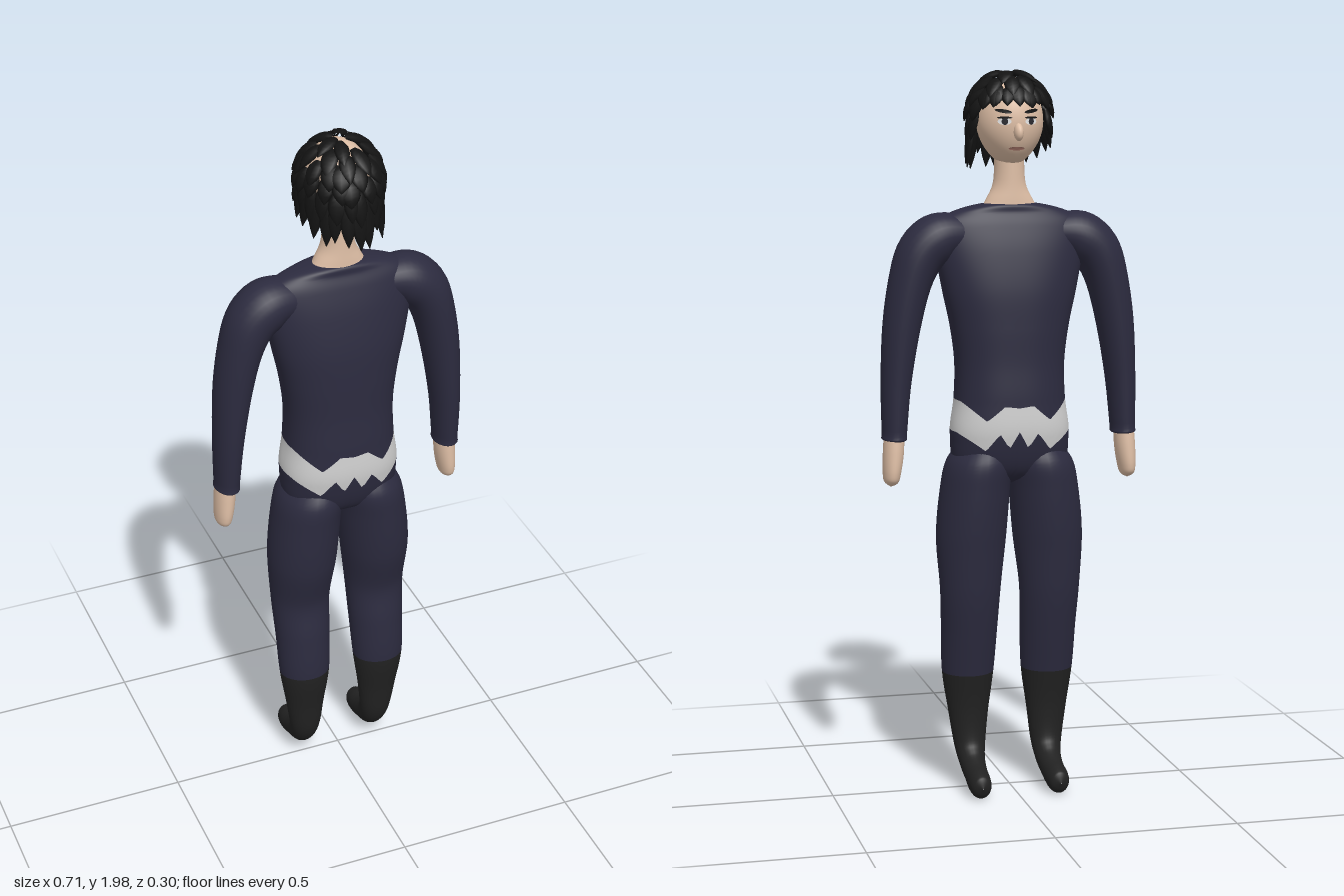
import * as THREE from 'three';
import { mergeGeometries } from 'three/addons/utils/BufferGeometryUtils.js';

const mat = (name, color) => {
  const m = new THREE.MeshStandardMaterial({ color });
  m.name = name;
  return m;
};
const V = (x, y, z) => new THREE.Vector3(x, y, z);
const X = V(1, 0, 0), Z = V(0, 0, 1);

// Smooth interpolation of ring rows [x, y, z, radiusA, radiusB] at row position t
function sample(rows, t) {
  const n = rows.length - 1;
  t = Math.min(Math.max(t, 0), n);
  const i = Math.min(Math.floor(t), n - 1), f = t - i;
  const p0 = rows[Math.max(i - 1, 0)], p1 = rows[i], p2 = rows[i + 1], p3 = rows[Math.min(i + 2, n)];
  return p1.map((b, k) => {
    const m1 = (p2[k] - p0[k]) / 2, m2 = (p3[k] - b) / 2, d = p2[k] - b;
    return b + f * (m1 + f * (3 * d - 2 * m1 - m2 + f * (m1 + m2 - 2 * d)));
  });
}

// Lofted tube through rings; radiusA lies along axis, radiusB across it.
// from and to are row positions, either numbers or functions of the angle.
function tube(rows, axis, { from = 0, to = rows.length - 1, nu = 28, nv = 40, power = 1 } = {}) {
  const at = (f, u) => (typeof f === 'function' ? f(u) : f);
  const bend = (c) => Math.sign(c) * Math.pow(Math.abs(c), power);
  const point = (u, t) => {
    const r = sample(rows, t), a = sample(rows, t - 0.02), b = sample(rows, t + 0.02);
    const across = V(b[0] - a[0], b[1] - a[1], b[2] - a[2]).normalize().cross(axis).normalize();
    return V(r[0], r[1], r[2])
      .addScaledVector(axis, Math.max(r[3], 0.0005) * bend(Math.cos(u)))
      .addScaledVector(across, Math.max(r[4], 0.0005) * bend(Math.sin(u)));
  };
  const pos = [], nor = [], idx = [], last = rows.length - 1;
  for (let j = 0; j <= nv; j++) {
    for (let i = 0; i <= nu; i++) {
      const u = (i / nu) * Math.PI * 2, t0 = at(from, u), t = t0 + (at(to, u) - t0) * (j / nv);
      const tn = Math.min(Math.max(t, 0.02), last - 0.02);
      const du = point(u + 0.02, tn).sub(point(u - 0.02, tn));
      const dv = point(u, tn + 0.01).sub(point(u, tn - 0.01));
      pos.push(...point(u, t).toArray());
      nor.push(...du.cross(dv).normalize().toArray());
      if (i < nu && j < nv) {
        const a = j * (nu + 1) + i, b = a + nu + 1;
        idx.push(a, a + 1, b + 1, a, b + 1, b);
      }
    }
  }
  const g = new THREE.BufferGeometry();
  g.setAttribute('position', new THREE.Float32BufferAttribute(pos, 3));
  g.setAttribute('normal', new THREE.Float32BufferAttribute(nor, 3));
  g.setIndex(idx);
  return g;
}

// Piecewise linear lookup for the belt outline
function zigzag(points, x) {
  for (let i = 1; i < points.length; i++) {
    const [x0, y0] = points[i - 1], [x1, y1] = points[i];
    if (x <= x1) return y0 + ((y1 - y0) * (x - x0)) / (x1 - x0);
  }
  return points[points.length - 1][1];
}

// Head shape: an ellipsoid narrowing to the chin
const HEAD = { y: 1.848, z: -0.005, rx: 0.09, ry: 0.12, rz: 0.097 };
const jaw = (py) => (py < 0 ? 1 - 0.22 * py * py : 1);
function faceZ(x, y) {
  const py = (y - HEAD.y) / HEAD.ry, px = x / (HEAD.rx * jaw(py));
  return HEAD.z - HEAD.rz * Math.sqrt(Math.max(0, 1 - px * px - py * py));
}

export function createModel() {
  const model = new THREE.Group();
  const suit = mat('navy suit', 0x2c2b3f), boots = mat('black boots', 0x222222);
  const silver = mat('silver belt', 0xd2d2d2), skin = mat('skin', 0xdfbfa6);
  const black = mat('black hair', 0x131313), white = mat('eye white', 0xf0f0f0);
  const iris = mat('dark iris', 0x2a2a30), lip = mat('lips', 0xa8766a);
  const add = (name, geometry, material, parent = model) => {
    const m = new THREE.Mesh(geometry, material);
    m.name = name;
    parent.add(m);
    return m;
  };

  // Torso, split by the zigzag belt
  const torso = [
    [0.86, 0.001, 0.001], [0.9, 0.14, 0.085], [1.0, 0.163, 0.118], [1.1, 0.152, 0.12],
    [1.2, 0.15, 0.114], [1.3, 0.163, 0.112], [1.4, 0.185, 0.106], [1.5, 0.203, 0.088],
    [1.57, 0.203, 0.068], [1.605, 0.165, 0.054], [1.628, 0.08, 0.047], [1.63, 0.001, 0.001],
  ].map(([y, a, b]) => [0, y, 0, a, b]);
  const edge = (pts) => (u) => 1 + (zigzag(pts, 0.155 * Math.pow(Math.abs(Math.cos(u)), 0.85)) - 0.9) / 0.1;
  const beltTop = edge([[0, 1.085], [0.04, 1.09], [0.085, 1.05], [0.15, 1.1], [0.16, 1.1]]);
  const beltBottom = edge([[0, 1.02], [0.025, 0.975], [0.05, 1.015], [0.085, 0.97], [0.15, 1.015], [0.16, 1.015]]);
  add('hips', tube(torso, X, { to: beltBottom, nu: 120, nv: 12, power: 0.85 }), suit);
  add('belt', tube(torso, X, { from: beltBottom, to: beltTop, nu: 120, nv: 6, power: 0.85 }), silver);
  add('shirt', tube(torso, X, { from: beltTop, nu: 120, nv: 50, power: 0.85 }), suit);

  // Arms, hands, legs and boots
  const arm = [
    [0.1, 1.53, 0, 0.05, 0.05], [0.15, 1.545, 0, 0.064, 0.058], [0.2, 1.535, 0, 0.074, 0.07],
    [0.245, 1.495, 0, 0.075, 0.067], [0.275, 1.42, 0, 0.072, 0.058], [0.299, 1.3, 0, 0.066, 0.051],
    [0.315, 1.15, 0, 0.058, 0.041], [0.321, 1.02, -0.004, 0.05, 0.034],
    [0.322, 0.995, -0.005, 0.047, 0.032], [0.322, 0.993, -0.005, 0.001, 0.001],
  ];
  const hand = [
    [0.322, 1.03, -0.01, 0.036, 0.027], [0.326, 0.96, -0.012, 0.041, 0.028], [0.331, 0.905, -0.013, 0.041, 0.024],
    [0.333, 0.88, -0.013, 0.031, 0.018], [0.334, 0.868, -0.013, 0.001, 0.001],
  ];
  const leg = [
    [0.075, 0.985, 0, 0.05, 0.08], [0.085, 0.93, 0, 0.088, 0.113], [0.097, 0.85, 0, 0.095, 0.114],
    [0.108, 0.72, 0, 0.096, 0.104], [0.112, 0.58, -0.007, 0.084, 0.08], [0.112, 0.46, 0.01, 0.078, 0.075],
    [0.113, 0.335, 0.025, 0.072, 0.065], [0.112, 0.22, 0.024, 0.056, 0.046], [0.11, 0.13, 0.016, 0.044, 0.04],
    [0.109, 0.085, -0.012, 0.036, 0.04], [0.109, 0.06, -0.06, 0.032, 0.037], [0.11, 0.046, -0.11, 0.031, 0.038],
    [0.11, 0.044, -0.14, 0.024, 0.029], [0.11, 0.043, -0.153, 0.001, 0.001],
  ];
  for (const [side, s] of [['left', 1], ['right', -1]]) {
    const flip = (rows) => rows.map(([x, ...rest]) => [s * x, ...rest]);
    add(side + 'Sleeve', tube(flip(arm), Z), suit);
    add(side + 'Hand', tube(flip(hand), Z, { nv: 24 }), skin);
    add(side + 'Leg', tube(flip(leg), X, { to: 6 }), suit);
    add(side + 'Boot', tube(flip(leg), X, { from: 6 }), boots);
  }

  // Neck and head
  add('neck', tube([
    [0, 1.605, 0, 0.085, 0.048], [0, 1.64, 0, 0.064, 0.047], [0, 1.69, 0, 0.043, 0.045], [0, 1.79, 0, 0.04, 0.045],
  ], X, { nv: 16 }), skin);
  const headGeo = new THREE.SphereGeometry(1, 40, 28), p = headGeo.attributes.position;
  for (let i = 0; i < p.count; i++) {
    const y = p.getY(i);
    p.setXYZ(i, p.getX(i) * HEAD.rx * jaw(y), HEAD.y + y * HEAD.ry, HEAD.z + p.getZ(i) * HEAD.rz);
  }
  headGeo.computeVertexNormals();
  add('head', headGeo, skin);
  const nose = add('nose', new THREE.SphereGeometry(1, 16, 12), skin);
  nose.scale.set(0.013, 0.024, 0.02);
  nose.position.set(0, 1.822, -0.105);
  nose.rotation.x = 0.35;

  // Face details laid on the head surface
  const patch = (name, cx, cy, rx, ry, lift, material, tilt = 0) => {
    const g = new THREE.CircleGeometry(1, 20), q = g.attributes.position;
    for (let i = 0; i < q.count; i++) {
      const x = cx - q.getX(i) * rx, y = cy + q.getY(i) * ry + tilt * (x - cx);
      q.setXYZ(i, x, y, faceZ(x, y) - lift);
    }
    g.computeVertexNormals();
    add(name, g, material);
  };
  for (const s of [1, -1]) {
    patch('eyeWhite', s * 0.036, 1.85, 0.017, 0.009, 0.003, white);
    patch('iris', s * 0.036, 1.85, 0.008, 0.009, 0.005, iris);
    patch('eyelid', s * 0.036, 1.86, 0.019, 0.003, 0.005, black);
    patch('eyebrow', s * 0.038, 1.877, 0.021, 0.005, 0.004, black, s * 0.15);
  }
  patch('mouth', 0, 1.778, 0.022, 0.005, 0.003, lip);

  // Hair: rings of overlapping pointed locks
  let seed = 7;
  const rnd = () => (seed = (seed * 16807) % 2147483647) / 2147483647;
  const locks = [];
  const lock = (theta, phi, arc, drop, width) => {
    const dir = V(Math.sin(theta), 0, Math.cos(theta)), rows = [];
    const back = Math.max(0, dir.z);
    [0, 0.25, 0.55, 0.8, 1].forEach((k, i) => {
      const a = ((phi + arc * k) * Math.PI) / 180, r = Math.sin(Math.min(a, 1.6));
      const grow = 0.92 + 0.14 * k - (drop ? 0.04 : 0);
      rows.push([
        dir.x * r * 0.114 * grow,
        1.862 + 0.126 * Math.cos(a) * (0.93 + 0.05 * k) - drop * k,
        0.004 + dir.z * r * (0.113 + 0.024 * back) * grow,
        width * [0.45, 0.95, 1, 0.6, 0.03][i], 0.009 * [0.5, 1, 1, 0.7, 0.1][i],
      ]);
    });
    locks.push(tube(rows, V(dir.z, 0, -dir.x), { nu: 8, nv: 8 }));
  };
  // [angle from crown, count, arc, drop, width]
  for (const [phi, count, arc, drop, width] of [
    [6, 5, 36, 0, 0.02], [26, 10, 36, 0, 0.022], [44, 15, 32, 0, 0.023],
    [60, 19, 32, 0, 0.022], [76, 22, 22, 0.04, 0.021], [84, 24, 12, 0.1, 0.019],
  ]) {
    for (let i = 0; i < count; i++) {
      const theta = ((i + 0.5 * rnd()) / count) * Math.PI * 2 + phi, c = Math.cos(theta);
      if ((phi > 50 && c < -0.55) || (phi > 70 && c < -0.3) || (phi > 80 && c < -0.05)) continue;
      lock(theta, phi + 6 * rnd(), arc, drop * (0.7 + 0.55 * rnd()), width * (0.9 + 0.25 * rnd()));
    }
  }
  // Fringe over the forehead
  for (let i = -3; i <= 3; i++) lock(Math.PI + i * 0.27, 50, 24 + 6 * rnd(), 0, 0.019);
  add('hair', mergeGeometries(locks), black);
  return model;
}
